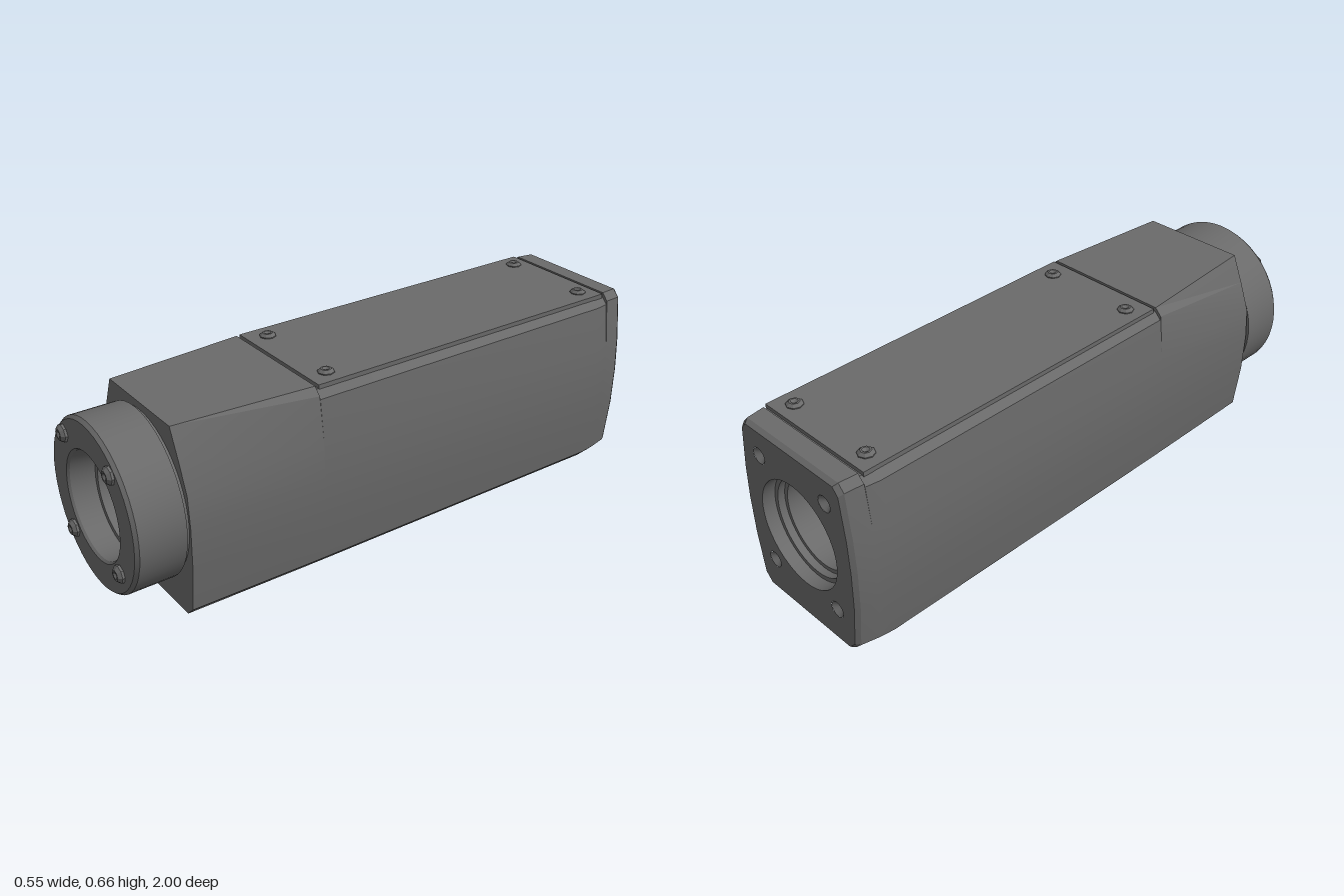
import * as THREE from 'three';
import { toCreasedNormals } from 'three/addons/utils/BufferGeometryUtils.js';

const AXIS_Y = 0.345;    // height of the front ring
const BORE_Y = 0.333;    // height of the bore
const STRETCH = 1.035;   // the round parts are slightly taller than wide

// Right half of a housing cross-section, bottom to top
const half = (w, top, floor = 0) => [
  [0.22 * w, floor], [0.25 * w, floor + 0.03], [0.27 * w, 0.2],
  [0.275 * w, 0.34], [0.27 * w, 0.46], [0.252 * w, top - 0.025], [0.228 * w, top],
];
const frontHalf = [
  [0.215, 0], [0.25, 0.035], [0.27, 0.2], [0.275, 0.34], [0.268, 0.45], [0.23, 0.55], [0.19, 0.645],
];
const mirrored = (pts) => [...pts, ...pts.slice().reverse().map(([x, y]) => [-x, y])];

function loft(stations) {
  const pos = [], idx = [];
  const n = stations[0].pts.length;
  for (const { z, pts } of stations) for (const [x, y] of pts) pos.push(x, y, z);
  for (let i = 0; i < stations.length - 1; i++) {
    for (let j = 0; j < n; j++) {
      const a = i * n + j, b = i * n + (j + 1) % n;
      idx.push(a, b, b + n, a, b + n, a + n);
    }
  }
  const g = new THREE.BufferGeometry();
  g.setAttribute('position', new THREE.Float32BufferAttribute(pos, 3));
  g.setIndex(idx);
  return toCreasedNormals(g, 0.35);
}

// Flat end face with elliptical holes [x, y, rx, ry]
function endFace(pts, holes) {
  const shape = new THREE.Shape(pts.map(([x, y]) => new THREE.Vector2(x, y)));
  for (const [x, y, rx, ry] of holes) {
    shape.holes.push(new THREE.Path().absellipse(x, y, rx, ry, 0, Math.PI * 2, true));
  }
  return new THREE.ShapeGeometry(shape, 24);
}

// Turned part with its axis along z
function turned(profile, segments, crease) {
  const g = new THREE.LatheGeometry(profile.map(([r, z]) => new THREE.Vector2(r, z)), segments);
  g.rotateX(Math.PI / 2);
  return toCreasedNormals(g, crease);
}

export function createModel() {
  const model = new THREE.Group();
  const metal = new THREE.MeshStandardMaterial({ color: 0x6a6a6a });
  metal.name = 'dark grey metal';

  const add = (name, geometry, x = 0, y = 0, z = 0) => {
    const mesh = new THREE.Mesh(geometry, metal);
    mesh.name = name;
    mesh.position.set(x, y, z);
    model.add(mesh);
    return mesh;
  };

  // Housing, with a shallow bed for the cover and rounded rear edges
  const stations = [
    [-1, half(0.9, 0.635, 0.015)],
    [-0.985, half(0.94, 0.645, 0.008)],
    [-0.922, half(0.97, 0.647)],
    [-0.92, half(0.97, 0.635)],
    [-0.87, half(1, 0.635)],
    [0.32, half(1, 0.635)],
    [0.322, half(1, 0.647)],
    [0.8, frontHalf],
  ].map(([z, pts]) => ({ z, pts: mirrored(pts) }));
  add('housing', loft(stations));

  // End faces
  add('frontFace', endFace(stations.at(-1).pts, [[0, AXIS_Y, 0.2, 0.2]]), 0, 0, 0.8);
  const corners = [];
  for (const x of [-0.155, 0.155]) for (const y of [0.14, 0.545]) corners.push([x, y]);
  const rear = endFace(stations[0].pts, [
    [0, BORE_Y, 0.18, 0.18 * STRETCH],
    ...corners.map(([x, y]) => [x, y, 0.028, 0.028]),
  ]);
  add('rearFace', rear.rotateY(Math.PI), 0, 0, -1);

  // Conical screw holes in the rear face
  const dimple = turned([[0, 0.03], [0.028, 0]].map(([r, z]) => [r, z]), 16, 1);
  for (const [x, y] of corners) add('rearScrewHole', dimple, x, y, -1);

  // Front ring and through bore in one profile
  const ring = turned([
    [0.2, 0.8], [0.266, 0.8], [0.266, 0.808], [0.277, 0.812], [0.277, 0.968], [0.268, 0.98],
    [0.178, 0.98], [0.172, 0.972], [0.168, 0.89], [0.151, 0.89],
    [0.151, -0.93], [0.165, -0.93], [0.165, -0.955], [0.18, -0.955], [0.18, -1],
  ], 48, 0.5);
  const p = ring.attributes.position;
  for (let i = 0; i < p.count; i++) {
    const inner = p.getZ(i) < 0.9 && Math.hypot(p.getX(i), p.getY(i)) < 0.19;
    p.setY(i, p.getY(i) * STRETCH + (inner ? BORE_Y : AXIS_Y));
  }
  add('frontRingAndBore', ring);

  // Cover plate on top
  add('coverPlate', new THREE.BoxGeometry(0.46, 0.016, 1.22), 0, 0.64, -0.3);

  // Low domed screws with a dished centre
  const screw = turned([[0.03, -0.005], [0.03, 0.008], [0.019, 0.019], [0.013, 0.019], [0, 0.009]], 8, 0.2);
  for (const x of [-0.155, 0.155]) {
    for (const y of [0.191, 0.53]) add('ringScrew', screw, x, y, 0.98);
  }
  for (const x of [-0.167, 0.167]) {
    for (const z of [-0.85, 0.24]) {
      const s = add('coverScrew', screw, x, 0.645, z);
      s.rotation.x = -Math.PI / 2;
      s.scale.set(0.93, 0.93, 0.8);
    }
  }
  return model;
}
